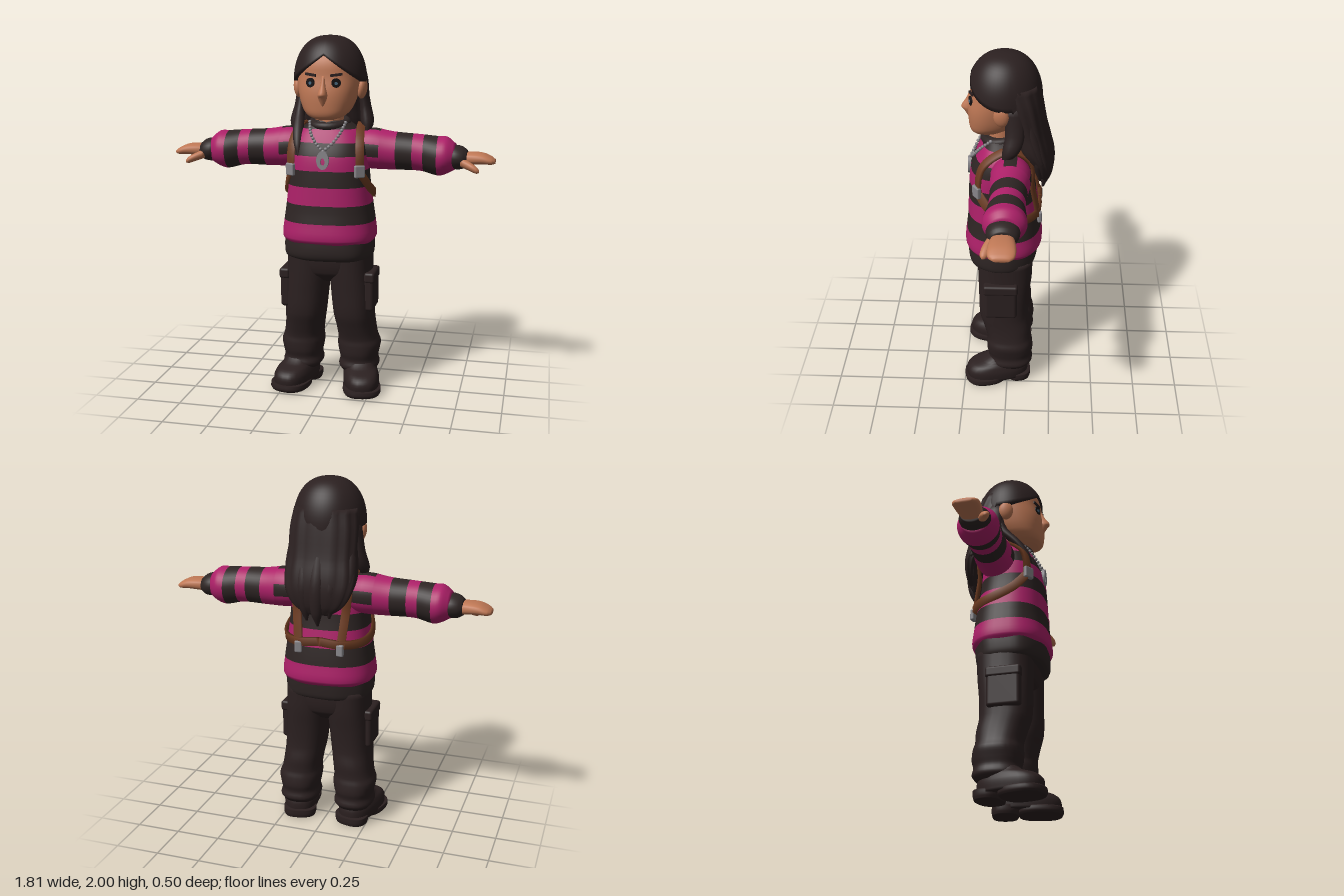
import * as THREE from 'three';
import { mergeVertices } from 'three/addons/utils/BufferGeometryUtils.js';
import { RoundedBoxGeometry } from 'three/addons/geometries/RoundedBoxGeometry.js';

const V = (x, y, z) => new THREE.Vector3(x, y, z);

// Surface through closed rings of points; pick(i, j) gives a face's material index
function surface(rows, pick = null, caps = true) {
  const n = rows[0].length, pts = rows.flat(), buckets = [[], []];
  const put = (m, ...f) => buckets[m].push(...f);
  for (let i = 0; i < rows.length - 1; i++) for (let j = 0; j < n; j++) {
    const a = i * n + j, b = i * n + (j + 1) % n;
    put(pick ? pick(i, j) : 0, a, a + n, b, b, a + n, b + n);
  }
  if (caps) [0, rows.length - 1].forEach((r, end) => {
    const c = pts.length, mid = V(0, 0, 0);
    rows[r].forEach(p => mid.addScaledVector(p, 1 / n));
    pts.push(mid);
    for (let j = 0; j < n; j++) {
      const a = r * n + j, b = r * n + (j + 1) % n;
      put(pick ? pick(Math.min(r, rows.length - 2), j) : 0, ...(end ? [c, b, a] : [c, a, b]));
    }
  });
  const g = new THREE.BufferGeometry().setFromPoints(pts);
  g.setIndex(buckets.flat());
  if (pick) {
    g.addGroup(0, buckets[0].length, 0);
    g.addGroup(buckets[0].length, buckets[1].length, 1);
  }
  g.computeVertexNormals();
  return g;
}

// Smooth blend between keys [t, a, b, radiusA, radiusB]
function keyAt(keys, t) {
  let i = 0;
  while (i < keys.length - 2 && t > keys[i + 1][0]) i++;
  const p = keys[i], q = keys[i + 1], h = q[0] - p[0], u = (t - p[0]) / h;
  const slope = (k, c) => {
    const l = keys[Math.max(0, k - 1)], r = keys[Math.min(keys.length - 1, k + 1)];
    return (r[c] - l[c]) / (r[0] - l[0]) * h;
  };
  return [1, 2, 3, 4].map(c => p[c] * (1 + 2 * u) * (1 - u) ** 2 + q[c] * u * u * (3 - 2 * u)
    + slope(i, c) * u * (1 - u) ** 2 - slope(i + 1, c) * u * u * (1 - u));
}

// Rounded cross-sections along the y axis (a = x, b = z) or the x axis (a = z, b = y)
function loft(keys, { axis = 'y', p = 2, n = 28, cuts = [], dark = null, ripple = () => 1 } = {}) {
  const ts = [...cuts];
  keys.forEach((k, i) => {
    const next = keys[i + 1];
    for (let s = 0; s < (next ? 4 : 1); s++) ts.push(next ? k[0] + (next[0] - k[0]) * s / 4 : k[0]);
  });
  const list = [...new Set(ts.map(t => +t.toFixed(4)))].sort((a, b) => a - b);
  const pow = v => Math.sign(v) * Math.abs(v) ** (2 / p);
  const rows = list.map(t => {
    const [a, b, ra, rb] = keyAt(keys, t);
    return Array.from({ length: n }, (_, j) => {
      const w = j / n * Math.PI * 2, f = ripple(w, t);
      const u = a + ra * f * pow(Math.cos(w)), v = b + rb * f * pow(Math.sin(w));
      return axis === 'y' ? V(u, t, v) : V(t, v, u);
    });
  });
  const pick = dark && ((i, j) => dark((list[i] + list[i + 1]) / 2, (j + 0.5) / n * Math.PI * 2) ? 1 : 0);
  return surface(rows, pick);
}

// Flat leather band along a curve, facing away from a centre
function band(points, centre, width, thick) {
  const curve = new THREE.CatmullRomCurve3(points.map(q => V(...q)));
  const rows = Array.from({ length: 41 }, (_, i) => {
    const q = curve.getPointAt(i / 40), t = curve.getTangentAt(i / 40);
    const out = q.clone().sub(centre);
    out.addScaledVector(t, -out.dot(t)).normalize();
    const side = t.clone().cross(out);
    return [[1, 1], [1, -1], [-1, -1], [-1, 1]].map(([o, s]) =>
      q.clone().addScaledVector(out, o * thick / 2).addScaledVector(side, s * width / 2));
  });
  return surface(rows);
}

function mirror(geo) {
  const g = geo.index ? geo.clone() : mergeVertices(geo);
  g.scale(-1, 1, 1);
  const ix = g.index.array;
  for (let i = 0; i < ix.length; i += 3) [ix[i], ix[i + 1]] = [ix[i + 1], ix[i]];
  return g;
}

const placed = (g, x, y, z, ry = 0, rz = 0) => g.rotateZ(rz).rotateY(ry).translate(x, y, z);

export function createModel() {
  const model = new THREE.Group();
  model.name = 'character';
  const mat = (name, color, side = THREE.FrontSide) => {
    const m = new THREE.MeshStandardMaterial({ color, side });
    m.name = name;
    return m;
  };
  const skin = mat('skin', 0xbf7855), hair = mat('hair', 0x2b2020, THREE.DoubleSide);
  const pink = mat('magenta knit', 0xac2068), knit = mat('dark knit', 0x2e2524);
  const cloth = mat('dark trousers', 0x2b2020), leather = mat('brown leather', 0x6e3c22);
  const metal = mat('grey metal', 0x88868a), black = mat('black', 0x151214), blue = mat('iris blue', 0x4a6a80);
  const add = (name, geo, m) => {
    const mesh = new THREE.Mesh(geo, m);
    mesh.name = name;
    model.add(mesh);
  };
  const pair = (name, geo, m) => {
    add(name + 'Left', geo, m);
    add(name + 'Right', mirror(geo), m);
  };

  // Striped sweater
  const within = (bands, t) => bands.some(([lo, hi]) => t > lo && t < hi);
  const bodyBands = [[0.99, 1.09], [1.19, 1.28], [1.36, 1.43], [1.5, 2]];
  add('sweaterBody', loft([[0.87, 0, 0.025, 0.245, 0.195], [0.9, 0, 0.025, 0.262, 0.215], [0.98, 0, 0.025, 0.255, 0.208],
    [1.05, 0, 0.025, 0.245, 0.2], [1.15, 0, 0.03, 0.232, 0.19], [1.25, 0, 0.035, 0.222, 0.18], [1.35, 0, 0.035, 0.22, 0.17],
    [1.42, 0, 0.03, 0.21, 0.15], [1.48, 0, 0.02, 0.18, 0.13], [1.52, 0, 0.025, 0.13, 0.1], [1.545, 0, 0.035, 0.09, 0.08]],
  { p: 2.5, n: 48, cuts: bodyBands.flat().filter(t => t < 1.54), dark: t => within(bodyBands, t) }), [pink, knit]);
  add('sweaterHem', loft([[0.775, 0, 0.03, 0.225, 0.165], [0.79, 0, 0.03, 0.243, 0.188], [0.83, 0, 0.03, 0.25, 0.198],
    [0.9, 0, 0.025, 0.25, 0.2]], { p: 2.5, n: 48, ripple: w => 1 + 0.012 * Math.cos(7 * w) }), knit);
  add('collar', new THREE.TorusGeometry(0.095, 0.022, 10, 32).rotateX(Math.PI / 2 + 0.15).translate(0, 1.53, 0.035), knit);
  const armBands = [[0.37, 0.46], [0.52, 0.595]];
  pair('sleeve', loft([[0.1, -0.02, 1.38, 0.09, 0.09], [0.22, -0.02, 1.385, 0.11, 0.113], [0.35, -0.015, 1.375, 0.1, 0.105],
    [0.5, -0.01, 1.37, 0.096, 0.1], [0.6, -0.005, 1.355, 0.112, 0.107], [0.645, -0.005, 1.36, 0.108, 0.1],
    [0.69, -0.003, 1.355, 0.075, 0.07]], { axis: 'x', n: 40, cuts: [0.28, ...armBands.flat()],
    dark: (t, w) => within(armBands, t) || (t < 0.28 && Math.abs(Math.sin(2 * w)) < 0.5 && Math.sin(w) > -0.5) }), [pink, knit]);
  pair('cuff', loft([[0.66, 0, 1.353, 0.075, 0.06], [0.69, 0, 1.353, 0.085, 0.066], [0.73, 0, 1.35, 0.077, 0.06],
    [0.755, 0, 1.348, 0.058, 0.043]], { axis: 'x' }), knit);

  // Hands
  pair('hand', loft([[0.72, 0, 1.345, 0.05, 0.035], [0.78, 0, 1.35, 0.064, 0.034], [0.84, 0, 1.35, 0.07, 0.029],
    [0.885, 0, 1.34, 0.064, 0.02], [0.905, 0, 1.335, 0.04, 0.01]], { axis: 'x', p: 2.5 }), skin);
  pair('thumb', loft([[0.72, 0.045, 1.335, 0.03, 0.026], [0.78, 0.075, 1.312, 0.027, 0.023],
    [0.81, 0.086, 1.298, 0.021, 0.018], [0.825, 0.09, 1.292, 0.008, 0.008]], { axis: 'x', n: 14 }), skin);

  // Trousers with cargo pockets
  add('trouserSeat', loft([[0.64, 0, 0.015, 0.1, 0.09], [0.7, 0, 0.015, 0.222, 0.148], [0.85, 0, 0.015, 0.235, 0.16]], { p: 2.5 }), cloth);
  pair('trouserLeg', loft([[0.1, 0.165, -0.015, 0.095, 0.11], [0.13, 0.165, -0.015, 0.115, 0.132], [0.17, 0.165, -0.015, 0.107, 0.125],
    [0.21, 0.165, -0.015, 0.114, 0.134], [0.26, 0.165, -0.012, 0.122, 0.132], [0.3, 0.16, -0.008, 0.113, 0.126],
    [0.37, 0.15, 0.002, 0.111, 0.135], [0.45, 0.14, 0.02, 0.115, 0.14], [0.58, 0.131, 0.02, 0.12, 0.145],
    [0.7, 0.122, 0.015, 0.121, 0.153], [0.82, 0.12, 0.015, 0.12, 0.155]], { p: 2.4 }), cloth);
  pair('cargoPocket', placed(new RoundedBoxGeometry(0.06, 0.22, 0.185, 3, 0.02), 0.238, 0.59, 0.035), cloth);
  pair('pocketFlap', placed(new RoundedBoxGeometry(0.06, 0.06, 0.195, 3, 0.015), 0.243, 0.675, 0.035), cloth);

  // Boots, toes turned out
  const boot = keys => placed(loft(keys, { p: 2.5 }), 0.175, 0, 0.0, 0.24);
  pair('bootUpper', boot([[0.03, 0, 0.06, 0.1, 0.18], [0.08, 0, 0.06, 0.102, 0.182], [0.115, 0, 0.05, 0.092, 0.162],
    [0.14, 0, 0.02, 0.08, 0.12], [0.19, 0, -0.01, 0.07, 0.09]]), cloth);
  pair('bootSole', boot([[0.005, 0, 0.13, 0.1, 0.115], [0.02, 0, 0.13, 0.108, 0.124], [0.045, 0, 0.13, 0.106, 0.122]]), cloth);
  pair('bootHeel', boot([[0, 0, -0.06, 0.09, 0.07], [0.02, 0, -0.06, 0.096, 0.075], [0.05, 0, -0.06, 0.096, 0.075]]), cloth);

  // Head and face
  add('neck', placed(new THREE.CylinderGeometry(0.075, 0.08, 0.16, 24), 0, 1.56, 0.04), skin);
  add('head', loft([[1.555, 0, 0.13, 0.05, 0.045], [1.575, 0, 0.113, 0.1, 0.087], [1.62, 0, 0.08, 0.137, 0.13],
    [1.7, 0, 0.055, 0.162, 0.157], [1.78, 0, 0.03, 0.173, 0.168], [1.86, 0, 0.02, 0.168, 0.168],
    [1.92, 0, 0.01, 0.135, 0.135], [1.96, 0, 0, 0.05, 0.05]], { p: 2.3, n: 40 }), skin);
  add('nose', loft([[1.63, 0, 0.19, 0.012, 0.02], [1.675, 0, 0.205, 0.025, 0.03], [1.695, 0, 0.209, 0.026, 0.041],
    [1.74, 0, 0.198, 0.015, 0.025], [1.79, 0, 0.186, 0.01, 0.014]], { n: 16 }), skin);
  pair('ear', placed(new THREE.SphereGeometry(1, 18, 12).scale(0.024, 0.055, 0.042), 0.18, 1.715, 0.03, -0.2, -0.12), skin);
  const disc = (r, d) => new THREE.CylinderGeometry(r, r, d, 20).rotateX(Math.PI / 2);
  pair('eye', placed(disc(0.025, 0.009), 0.07, 1.755, 0.194, 0.34), black);
  pair('iris', placed(disc(0.009, 0.004), 0.071, 1.753, 0.2, 0.34), blue);
  pair('eyebrow', placed(new THREE.BoxGeometry(0.065, 0.014, 0.009), 0.07, 1.797, 0.19, 0.34, 0.12), hair);

  // Hair: parted cap, long back fall and loose locks
  const capRows = Array.from({ length: 18 }, (_, i) => Array.from({ length: 56 }, (_, j) => {
    const a = j / 56 * Math.PI * 2, side = Math.min(a, Math.PI * 2 - a);
    const edge = 0.95 + 0.66 * Math.sin(Math.min(1, side / 1.6) * Math.PI / 2) + (side > 1.9 ? 0.2 : 0);
    const w = edge * Math.max(0.02, Math.min(i, 16) / 16);
    const r = Math.sin(Math.min(w, Math.PI / 2)) ** 0.8 * (i === 17 ? 0.84 : 1);
    return V(0.2 * r * Math.sin(a), 1.76 + 0.24 * Math.cos(w), 0.02 + 0.2 * r * Math.cos(a));
  }));
  const cap = surface(capRows, null, false);
  add('hairCap', cap, hair);
  add('hairCrown', placed(new THREE.SphereGeometry(0.04, 16, 8).scale(1, 0.25, 1), 0, 1.99, 0.02), hair);
  add('hairBack', loft([[1.29, 0, -0.195, 0.07, 0.012], [1.34, 0, -0.195, 0.14, 0.035], [1.42, 0, -0.18, 0.185, 0.06],
    [1.5, 0, -0.14, 0.2, 0.092], [1.6, 0, -0.11, 0.192, 0.097], [1.75, 0, -0.07, 0.19, 0.11], [1.85, 0, -0.03, 0.175, 0.13]],
  { p: 2.3, n: 54, ripple: w => 1 + 0.025 * Math.cos(13 * w) }), hair);
  [[-0.15, 1.34], [-0.075, 1.27], [0, 1.225], [0.075, 1.25], [0.15, 1.32]].forEach(([x, tip], i) => {
    const z = x * x * 2;
    add('hairLock' + (i + 1), loft([[tip, x * 0.85, -0.195 + z / 2, 0.006, 0.006], [tip + 0.08, x * 0.95, -0.212 + z, 0.032, 0.026],
      [1.45, x, -0.213 + z, 0.045, 0.036], [1.6, x, -0.172 + z, 0.045, 0.036], [1.76, x * 0.9, -0.125 + z, 0.03, 0.03]], { n: 16 }), hair);
  });
  const sideLock = [[1.47, 0.205, 0.01, 0.012, 0.015], [1.53, 0.2, -0.02, 0.036, 0.045], [1.62, 0.185, -0.04, 0.03, 0.05],
    [1.76, 0.165, -0.03, 0.025, 0.05]];
  pair('sideLock', loft(sideLock, { n: 16 }), hair);
  add('frontLock', loft([[1.355, -0.145, 0.17, 0.006, 0.006], [1.42, -0.155, 0.145, 0.022, 0.02], [1.5, -0.165, 0.09, 0.03, 0.03],
    [1.6, -0.175, 0.0, 0.025, 0.035], [1.72, -0.17, -0.03, 0.02, 0.03]], { n: 16 }), hair);

  // Leather harness and buckles
  pair('shoulderStrap', band([[0.19, 1.27, 0.155], [0.19, 1.36, 0.152], [0.185, 1.43, 0.128], [0.175, 1.49, 0.06], [0.17, 1.517, -0.01],
    [0.165, 1.5, -0.075], [0.155, 1.43, -0.132], [0.14, 1.3, -0.133], [0.13, 1.2, -0.15], [0.12, 1.1, -0.168]],
  V(0.12, 1.32, 0.01), 0.046, 0.018), leather);
  pair('sideStrap', band([[0.195, 1.27, 0.152], [0.232, 1.19, 0.09], [0.245, 1.14, 0], [0.21, 1.12, -0.1], [0.12, 1.12, -0.167],
    [0, 1.13, -0.174]], V(0, 1.15, 0.02), 0.046, 0.018), leather);
  pair('frontBuckle', placed(new RoundedBoxGeometry(0.06, 0.068, 0.026, 2, 0.008), 0.192, 1.28, 0.163, 0.6), metal);
  pair('backBuckle', placed(new RoundedBoxGeometry(0.042, 0.066, 0.024, 2, 0.008), 0.12, 1.09, -0.174, 0.2), metal);

  // Chain and pendant
  const chain = new THREE.CatmullRomCurve3([V(0.1, 1.535, 0.09), V(0.08, 1.48, 0.15), V(0.045, 1.43, 0.182), V(0, 1.39, 0.207)]);
  for (let i = 0; i <= 11; i++) {
    const q = chain.getPointAt(i / 11);
    pair('chainLink' + i, placed(new THREE.SphereGeometry(0.0095, 8, 6), q.x, q.y, q.z), metal);
  }
  const tag = new THREE.Shape().absellipse(0, 0, 0.034, 0.05, 0, Math.PI * 2);
  tag.holes.push(new THREE.Path().absellipse(0, -0.008, 0.012, 0.02, 0, Math.PI * 2));
  add('pendant', placed(new THREE.ExtrudeGeometry(tag, { depth: 0.016, bevelEnabled: false, curveSegments: 20 }), 0, 1.342, 0.204), metal);
  return model;
}
